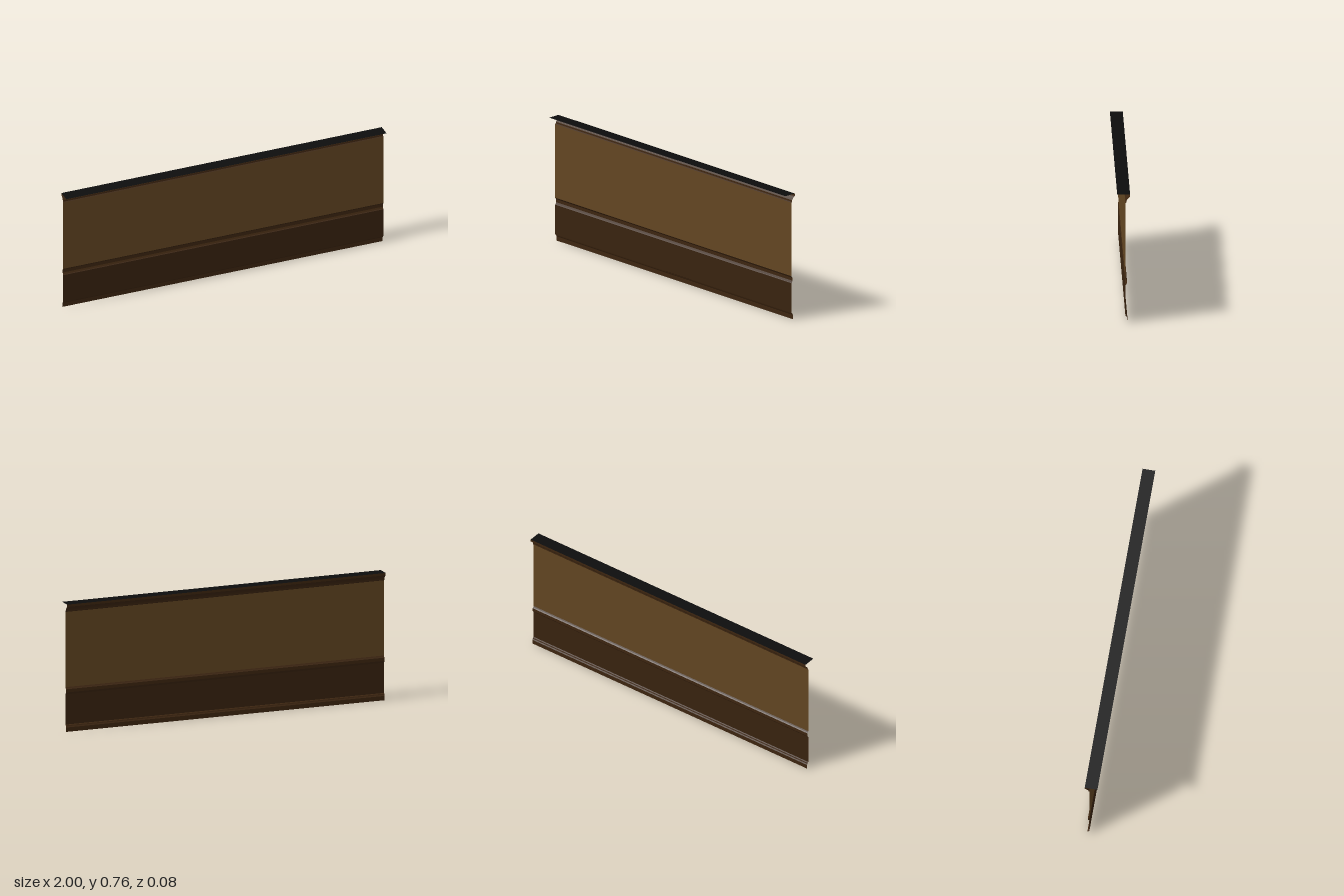
import * as THREE from 'three';

const mat = (name, color) => {
  const m = new THREE.MeshStandardMaterial({ color, side: THREE.DoubleSide });
  m.name = name;
  return m;
};

// Sweeps an open [z, y] profile along x as a thin sheet with flat facets
function strip(name, profile, material, length = 2) {
  const pos = [];
  const h = length / 2;
  for (let i = 0; i < profile.length - 1; i++) {
    const [z0, y0] = profile[i];
    const [z1, y1] = profile[i + 1];
    // wound so that an upward run faces the back
    pos.push(h, y0, z0, -h, y0, z0, -h, y1, z1);
    pos.push(h, y0, z0, -h, y1, z1, h, y1, z1);
  }
  const g = new THREE.BufferGeometry();
  g.setAttribute('position', new THREE.Float32BufferAttribute(pos, 3));
  g.computeVertexNormals();
  const mesh = new THREE.Mesh(g, material);
  mesh.name = name;
  return mesh;
}

export function createModel() {
  const wallPaint = mat('tan wall', 0x634622);
  const panelWood = mat('dark panel wood', 0x39230f);
  const trimWood = mat('trim wood', 0x3e2610);
  const capBlack = mat('black cap', 0x0d0d0d);

  const wallZ = -0.01;
  const group = new THREE.Group();
  group.name = 'wallSection';

  group.add(
    // skirting with a stepped upper lip
    strip('baseboard', [
      [-0.022, 0], [-0.022, 0.026], [-0.018, 0.032], [-0.016, 0.038], [wallZ, 0.041],
    ], trimWood),
    // lower panelling
    strip('wainscot', [[wallZ, 0.041], [wallZ, 0.222]], panelWood),
    // moulded rail between panelling and wall
    strip('chairRail', [
      [wallZ, 0.222], [-0.014, 0.226], [-0.019, 0.235], [-0.019, 0.254], [-0.014, 0.259], [wallZ, 0.265],
    ], trimWood),
    // upper wall
    strip('wall', [[wallZ, 0.265], [wallZ, 0.715]], wallPaint),
    // cornice flaring out to the cap
    strip('crownMoulding', [
      [wallZ, 0.715], [-0.015, 0.718], [-0.016, 0.728], [-0.022, 0.737],
      [-0.031, 0.747], [-0.0375, 0.751], [-0.0375, 0.765],
    ], trimWood),
    // flat top plate
    strip('topCap', [[-0.0375, 0.765], [0.0375, 0.765]], capBlack),
  );
  return group;
}
